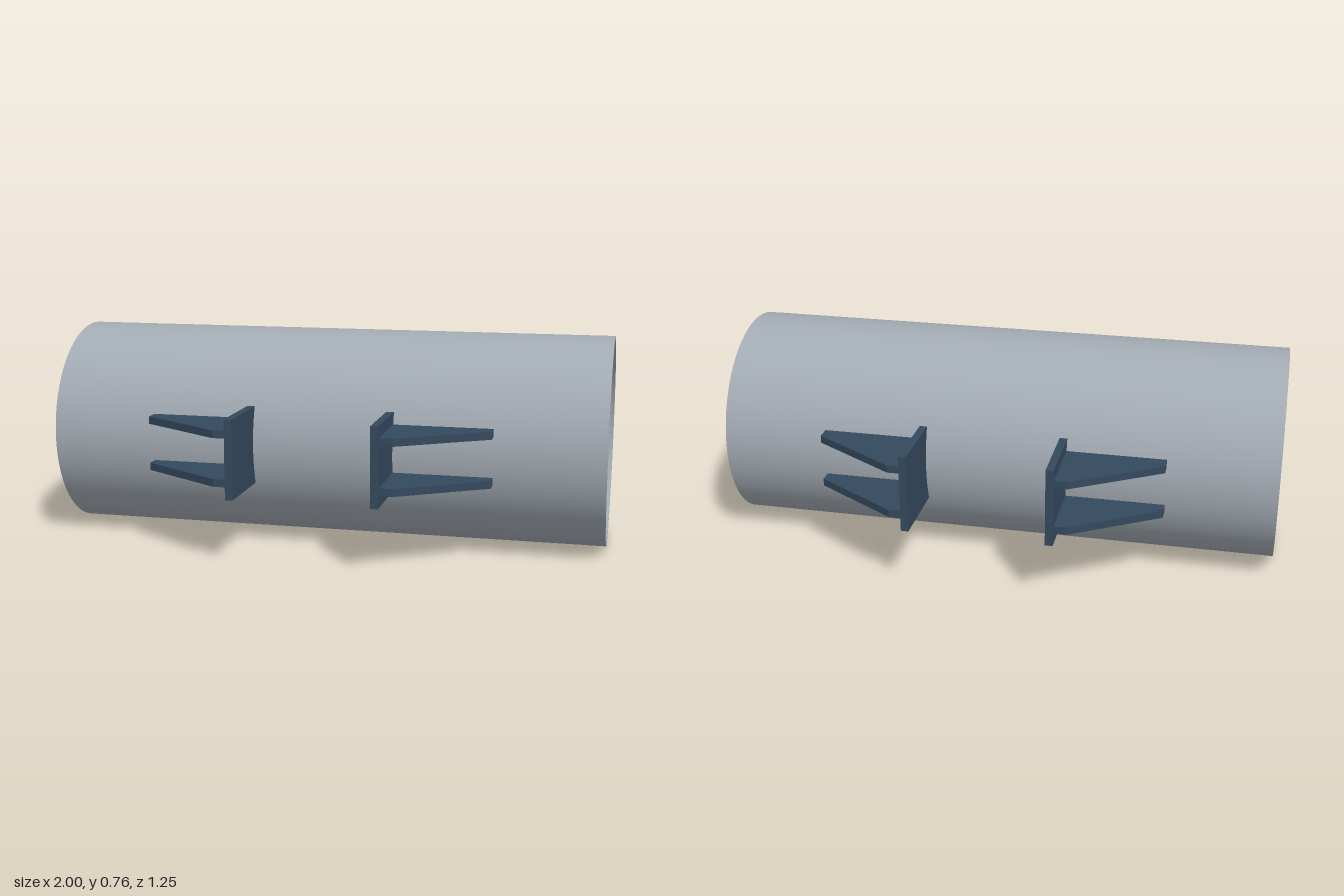
import * as THREE from 'three';
import { toCreasedNormals } from 'three/addons/utils/BufferGeometryUtils.js';

const R = 0.381;         // pipe outer radius, also its axis height
const WALL = 0.013;
const THICK = 0.027;     // plate and rib thickness
const PLATE_X = 0.239;   // inner face of the stop plate
const HALF_H = 0.14;     // half height of the stop plate
const REACH = 0.623;     // how far the plates stand out from the axis

function extrude(shape, depth, curveSegments = 24) {
  return new THREE.ExtrudeGeometry(shape, { depth, curveSegments, bevelEnabled: false });
}

// Hollow pipe along x
function makePipe(material) {
  const ring = new THREE.Shape().absarc(0, 0, R, 0, Math.PI * 2, false);
  ring.holes.push(new THREE.Path().absarc(0, 0, R - WALL, 0, Math.PI * 2, true));
  const geometry = toCreasedNormals(extrude(ring, 2, 64), Math.PI / 6);
  geometry.translate(0, 0, -1).rotateY(Math.PI / 2);
  const pipe = new THREE.Mesh(geometry, material);
  pipe.name = 'pipe';
  return pipe;
}

// Upright plate whose inner edge is cut to the pipe's curve
function makeStopPlate(material) {
  const r = R - 0.002;
  const a = Math.asin(HALF_H / r);
  const shape = new THREE.Shape();
  shape.moveTo(r * Math.cos(a), -HALF_H);
  shape.lineTo(REACH, -HALF_H);
  shape.lineTo(REACH, HALF_H);
  shape.lineTo(r * Math.cos(a), HALF_H);
  shape.absarc(0, 0, r, a, -a, true);
  const geometry = extrude(shape, THICK);
  geometry.rotateY(-Math.PI / 2).translate(PLATE_X + THICK, 0, 0);
  const plate = new THREE.Mesh(geometry, material);
  plate.name = 'stopPlate';
  return plate;
}

// Tapered rib bracing the plate, its root sunk into the pipe wall
function makeRib(material, y) {
  const x0 = PLATE_X + THICK;
  const outline = [[x0, 0.367], [0.615, 0.367], [0.615, 0.42], [0.312, 0.61], [x0, 0.61]];
  const shape = new THREE.Shape(outline.map(([x, z]) => new THREE.Vector2(x, z)));
  const geometry = extrude(shape, THICK);
  geometry.rotateX(Math.PI / 2).translate(0, y + THICK / 2, 0);
  const rib = new THREE.Mesh(geometry, material);
  rib.name = y > 0 ? 'upperRib' : 'lowerRib';
  return rib;
}

export function createModel() {
  const pipeMaterial = new THREE.MeshStandardMaterial({ color: 0xa3abb3 });
  const bracketMaterial = new THREE.MeshStandardMaterial({ color: 0x34495e });

  const model = new THREE.Group();
  model.name = 'pipeWithBrackets';
  model.add(makePipe(pipeMaterial));

  // Half turns about each axis place the four brackets
  const places = [
    ['frontLeftBracket', 0, 0, 0],
    ['frontRightBracket', 0, 0, Math.PI],
    ['backLeftBracket', Math.PI, 0, 0],
    ['backRightBracket', 0, Math.PI, 0],
  ];
  for (const [name, rx, ry, rz] of places) {
    const bracket = new THREE.Group();
    bracket.name = name;
    bracket.add(makeStopPlate(bracketMaterial));
    for (const y of [-0.085, 0.085]) bracket.add(makeRib(bracketMaterial, y));
    bracket.rotation.set(rx, ry, rz);
    model.add(bracket);
  }

  model.position.y = R;
  return model;
}
